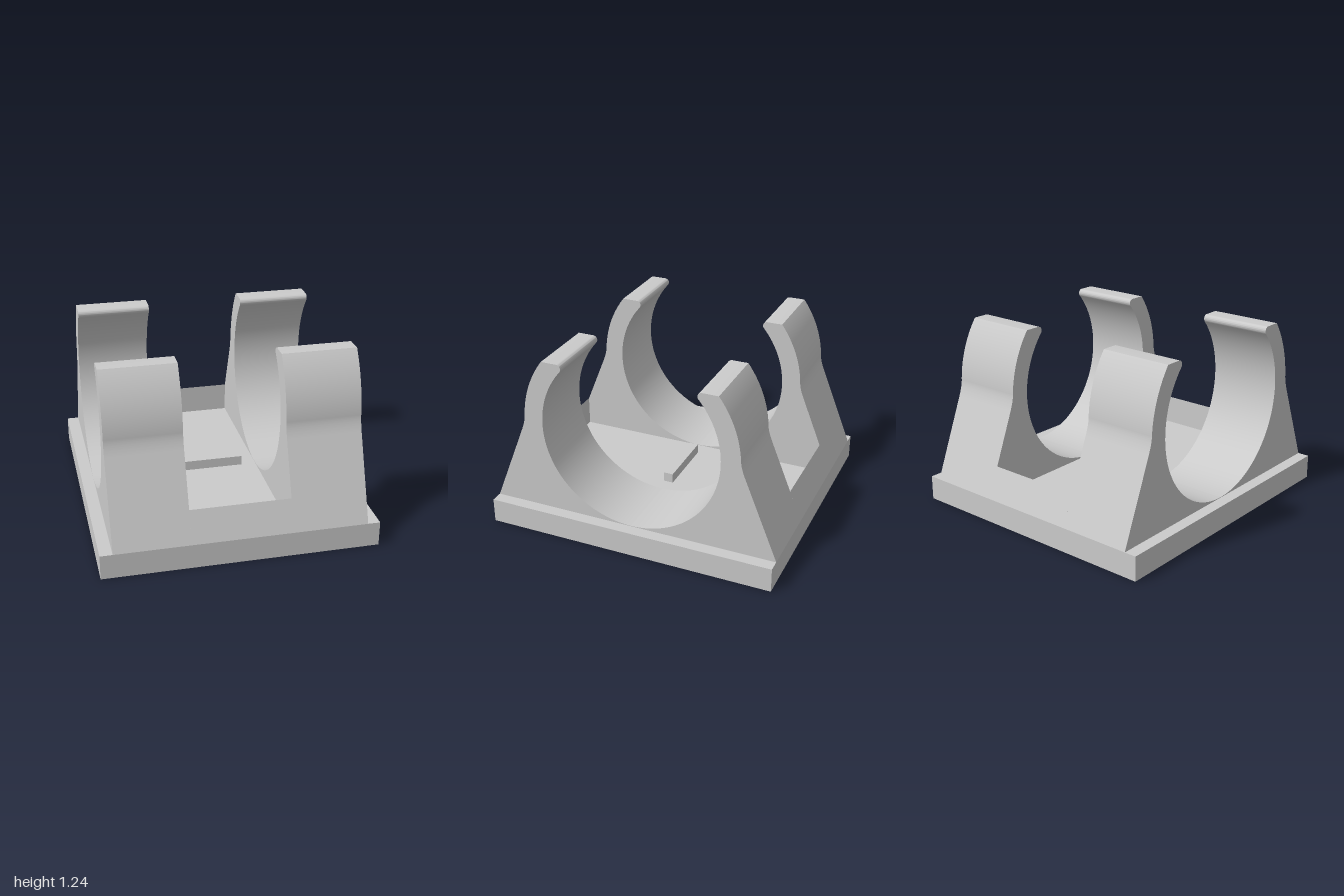
import * as THREE from 'three';
import { toCreasedNormals } from 'three/addons/utils/BufferGeometryUtils.js';

const BASE_TOP = 0.168;   // upper face of the base plate
const RECESS = 0.08;      // depth of the hollow underneath
const AXIS_Y = 0.79;      // height of the pipe axis
const TOP = 1.241;        // top of the clip jaws
const OUTER = 0.75;       // outer radius of the jaws
const BORE = 0.619;       // radius of the bore

export function createModel() {
  const grey = new THREE.MeshStandardMaterial({ color: 0xcbcbcb });
  grey.name = 'plain grey';
  const group = new THREE.Group();
  group.name = 'pipeClip';

  const add = (name, geometry, x = 0, y = 0, turn = 0) => {
    const mesh = new THREE.Mesh(geometry, grey);
    mesh.name = name;
    mesh.position.set(x, y, 0);
    mesh.rotation.y = turn;
    group.add(mesh);
  };

  // Extrudes a (z, y) outline along x, centred on x = 0
  const extrudeAcross = (shape, width) => {
    const geometry = new THREE.ExtrudeGeometry(shape, { depth: width, bevelEnabled: false, curveSegments: 20 });
    geometry.translate(0, 0, -width / 2).rotateY(-Math.PI / 2);
    return toCreasedNormals(geometry, 0.3);
  };

  const rectangle = (Type, x, y) => new Type().moveTo(-x, -y).lineTo(x, -y).lineTo(x, y).lineTo(-x, y).closePath();

  // Base plate, hollow underneath inside a narrow rim
  add('basePlate', new THREE.BoxGeometry(1.83, BASE_TOP - RECESS, 2), 0, (BASE_TOP + RECESS) / 2);
  const rim = rectangle(THREE.Shape, 0.915, 1);
  rim.holes.push(rectangle(THREE.Path, 0.832, 0.917));
  const rimGeometry = new THREE.ExtrudeGeometry(rim, { depth: RECESS, bevelEnabled: false });
  add('baseRim', rimGeometry.rotateX(-Math.PI / 2));

  // Half a clip: sloping flank blended into a round jaw, rolled lip, bore down to the middle
  const jaw = new THREE.Shape();
  const jawStart = 0.06;
  const boreEnd = 0.7;
  const lip = [BORE * Math.cos(boreEnd), AXIS_Y + BORE * Math.sin(boreEnd)];
  jaw.moveTo(1, BASE_TOP);
  jaw.lineTo(0.778, 0.72);
  jaw.quadraticCurveTo(OUTER, AXIS_Y, OUTER * Math.cos(jawStart), AXIS_Y + OUTER * Math.sin(jawStart));
  jaw.absarc(0, AXIS_Y, OUTER, jawStart, Math.asin((TOP - AXIS_Y) / OUTER), false);
  jaw.lineTo(0.495, TOP);
  jaw.bezierCurveTo(0.463, TOP, 0.453, 1.21, ...lip);
  jaw.absarc(0, AXIS_Y, BORE, boreEnd, -Math.PI / 2, true);
  jaw.lineTo(0, BASE_TOP);
  jaw.closePath();
  const jawGeometry = extrudeAcross(jaw, 0.5);

  // Low wedge wall that joins the two clips
  const wedge = new THREE.Shape();
  wedge.moveTo(1, BASE_TOP).lineTo(0.917, 0.375).lineTo(0.917, BASE_TOP).closePath();
  const wedgeGeometry = extrudeAcross(wedge, 0.666);

  for (const [end, turn] of [['front', 0], ['back', Math.PI]]) {
    add(end + 'LeftJaw', jawGeometry, 0.583, 0, turn);
    add(end + 'RightJaw', jawGeometry, -0.583, 0, turn);
    add(end + 'Wall', wedgeGeometry, 0, 0, turn);
  }

  // Small raised bar in the middle of the floor
  add('centreBar', new THREE.BoxGeometry(0.46, 0.067, 0.066), 0, BASE_TOP + 0.0335);

  return group;
}
